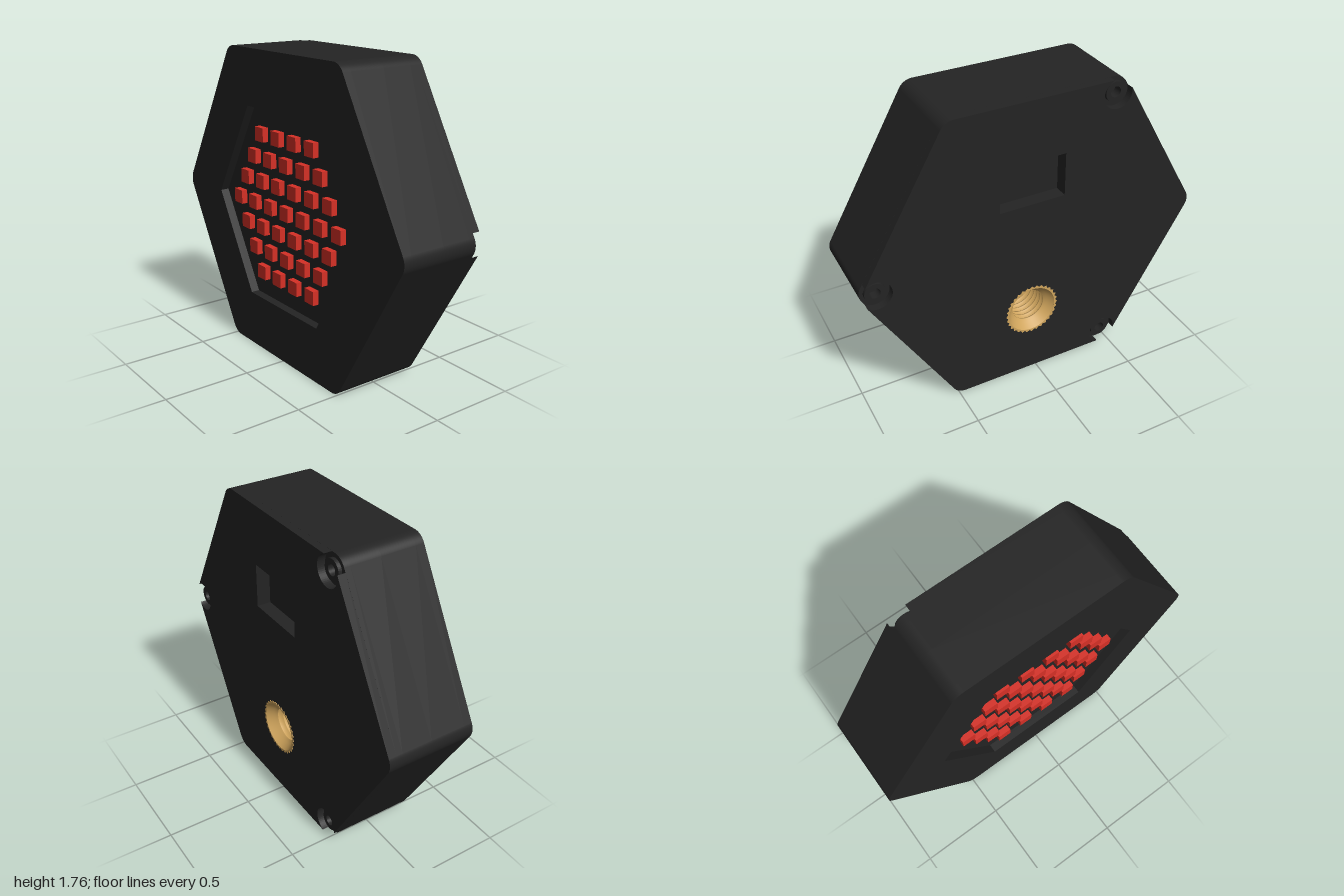
import * as THREE from 'three';

const CY = 0.877;          // height of the hexagon's centre
const BACK = -0.255, FRONT = 0.255;
const BORE = { x: 0.03, y: -0.44, r: 0.148 };   // threaded insert, from the centre
const SCREW_R = 0.92;      // distance of the screws from the centre

export function createModel() {
  const black = new THREE.MeshStandardMaterial({ color: 0x242424 });
  black.name = 'black plastic';
  const red = new THREE.MeshStandardMaterial({ color: 0xd63026 });
  red.name = 'red light';
  const brass = new THREE.MeshStandardMaterial({ color: 0xcfa45c, side: THREE.DoubleSide });
  brass.name = 'brass';

  const model = new THREE.Group();
  model.name = 'hexagonalLight';
  const inner = new THREE.Group();
  inner.name = 'centred';
  inner.position.y = CY;
  model.add(inner);

  const add = (name, geometry, material, parent = inner) => {
    const mesh = new THREE.Mesh(geometry, material);
    mesh.name = name;
    parent.add(mesh);
    return mesh;
  };

  // Rounded hexagon; every second corner may be cut by a screw counterbore
  const outline = (notched) => {
    const s = new THREE.Shape();
    for (let k = 0; k < 6; k++) {
      const a = k * Math.PI / 3, c = Math.cos(a), d = Math.sin(a);
      if (notched && k % 2 === 0) s.absarc(SCREW_R * c, SCREW_R * d, 0.085, a - 0.853, a + 0.853, true);
      else s.absarc(0.914 * c, 0.914 * d, 0.086, a - Math.PI / 6, a + Math.PI / 6, false);
    }
    s.closePath();
    return s;
  };
  const circle = (x, y, r) => new THREE.Path().absarc(x, y, r, 0, Math.PI * 2, true);
  const polygon = (points) => new THREE.Path(points.map(([x, y]) => new THREE.Vector2(x, y)));
  const extrude = (shape, z0, z1) =>
    new THREE.ExtrudeGeometry(shape, { depth: z1 - z0, bevelEnabled: false, curveSegments: 20 }).translate(0, 0, z0);
  const layer = (name, z0, z1, holes, notched = false) => {
    const s = outline(notched);
    s.holes.push(...holes);
    add(name, extrude(s, z0, z1), black);
  };

  // Openings
  const screws = [0, 1, 2].map((k) => {
    const a = k * Math.PI * 2 / 3;
    return [SCREW_R * Math.cos(a), SCREW_R * Math.sin(a)];
  });
  const port = () => polygon([[-0.16, 0.275], [-0.16, 0.53], [0.225, 0.53], [0.225, 0.275]]);
  const bore = () => circle(BORE.x, BORE.y, BORE.r);
  const screwHoles = () => screws.map(([x, y]) => circle(x, y, 0.03));
  const window6 = polygon([0, 1, 2, 3, 4, 5].map((k) => {
    const a = -k * Math.PI / 3;
    return [0.643 * Math.cos(a), 0.643 * Math.sin(a)];
  }));

  // Housing, stacked from back to front
  layer('backCover', BACK, -0.21, [port(), bore()], true);
  layer('portLayer', -0.21, -0.175, [port(), bore(), ...screwHoles()]);
  layer('boreLayer', -0.175, 0, [bore()]);
  layer('core', 0, 0.205, []);
  layer('frontFrame', 0.205, FRONT, [window6]);

  // Screw heads with a socket
  for (const [x, y] of screws) {
    const head = new THREE.Shape().absarc(x, y, 0.058, 0, Math.PI * 2, false);
    head.holes.push(circle(x, y, 0.03));
    add('screwHead', extrude(head, -0.23, -0.21), black);
  }

  // Grid of small lights: rows of 4, 5, 6, 7, 6, 5, 4
  const lights = new THREE.Group();
  lights.name = 'lights';
  inner.add(lights);
  const lightBox = new THREE.BoxGeometry(0.08, 0.08, 0.035);
  for (let row = -3; row <= 3; row++) {
    const n = 7 - Math.abs(row);
    for (let i = 0; i < n; i++) {
      add('light', lightBox, red, lights).position.set((i - (n - 1) / 2) * 0.156, row * 0.1355, 0.2225);
    }
  }

  // Threaded insert: knurled rim and a ridged bore
  const insert = new THREE.Group();
  insert.name = 'threadedInsert';
  insert.position.set(BORE.x, BORE.y, 0);
  inner.add(insert);
  const rim = new THREE.Shape();
  for (let i = 0; i < 64; i++) {
    const a = i * Math.PI / 32, r = i % 2 ? 0.152 : 0.164;
    if (i) rim.lineTo(r * Math.cos(a), r * Math.sin(a));
    else rim.moveTo(r, 0);
  }
  rim.closePath();
  rim.holes.push(circle(0, 0, 0.145));
  add('knurledRim', extrude(rim, BACK - 0.003, BACK + 0.03), brass, insert);

  const profile = [new THREE.Vector2(0.146, BACK - 0.003), new THREE.Vector2(0.118, BACK + 0.035)];
  for (let i = 0; i < 6; i++) {
    const z = BACK + 0.045 + i * 0.034;
    profile.push(new THREE.Vector2(0.1, z), new THREE.Vector2(0.1, z + 0.007), new THREE.Vector2(0.12, z + 0.018));
  }
  add('thread', new THREE.LatheGeometry(profile, 40).rotateX(Math.PI / 2), brass, insert);

  return model;
}
